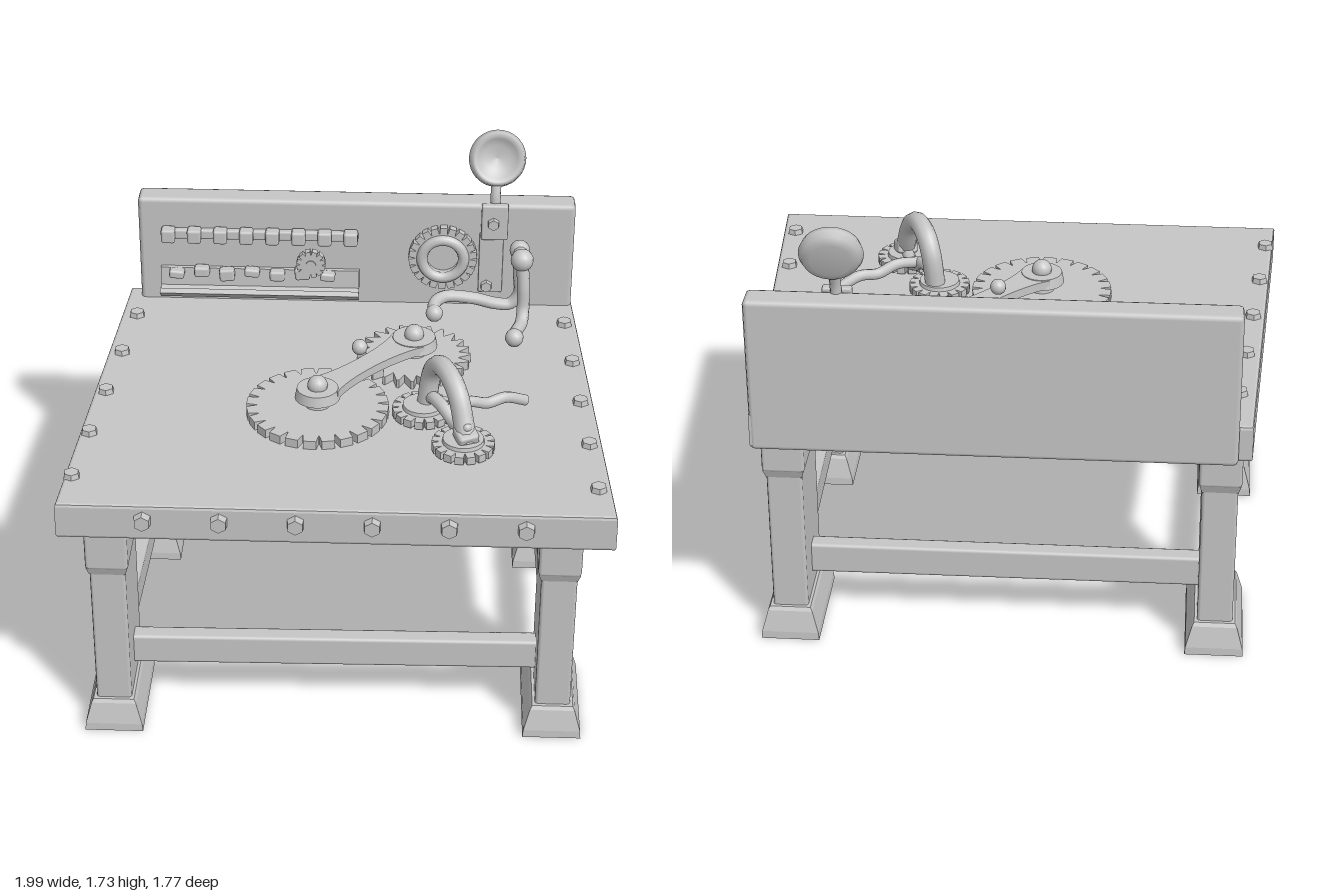
import * as THREE from 'three';
import { RoundedBoxGeometry } from 'three/addons/geometries/RoundedBoxGeometry.js';

const TURN = -0.076; // the bench stands slightly turned
const V = (p) => new THREE.Vector3(...p);

export function createModel() {
  const root = new THREE.Group();
  root.name = 'workbench';
  const clay = new THREE.MeshStandardMaterial({ color: 0xc6c6c6, side: THREE.DoubleSide });
  clay.name = 'plain grey';

  const add = (name, geo, pos = [0, 0, 0], rot = [0, 0, 0], parent = root) => {
    const m = new THREE.Mesh(geo, clay);
    m.name = name;
    m.position.set(...pos);
    m.rotation.set(...rot);
    parent.add(m);
    return m;
  };
  const block = (w, h, d, r = 0.012) => new RoundedBoxGeometry(w, h, d, 1, r);
  const tube = (pts, r, n = 40) =>
    new THREE.TubeGeometry(new THREE.CatmullRomCurve3(pts.map(V)), n, r, 10);
  const ball = (r, sy = 1) => new THREE.SphereGeometry(r, 14, 10).scale(1, sy, 1);
  const flat = (geo) => geo.rotateX(-Math.PI / 2);

  // One tooth is a list of [fraction of pitch, radius]; repeated around the wheel
  const gear = (tooth, count, depth, hole = 0) => {
    const pts = [];
    for (let i = 0; i < count; i++) {
      for (const [f, r] of tooth) {
        const a = ((i + f) / count) * Math.PI * 2;
        pts.push(new THREE.Vector2(Math.cos(a) * r, Math.sin(a) * r));
      }
    }
    const s = new THREE.Shape(pts);
    if (hole) s.holes.push(new THREE.Path().absarc(0, 0, hole, 0, Math.PI * 2, true));
    return new THREE.ExtrudeGeometry(s, { depth, bevelEnabled: false, curveSegments: 20 });
  };
  const blunt = (r, cut) => [[0, r - cut], [0.12, r], [0.82, r], [0.96, r - cut]];
  const spiky = (r, cut) => [[0, r - cut], [0.6, r], [0.78, r]];

  // Tapered table top
  const topShape = new THREE.Shape(
    [[-0.985, -0.71], [0.96, -0.858], [0.973, 0.75], [-0.77, 0.86]].map((p) => new THREE.Vector2(...p)));
  add('tableTop', flat(new THREE.ExtrudeGeometry(topShape, {
    depth: 0.117, bevelThickness: 0.012, bevelSize: 0.012, bevelSegments: 2,
  })), [0, 0.88, 0]);

  // Back panel, with its fittings placed relative to its front face
  const back = new THREE.Group();
  back.name = 'backPanel';
  back.position.set(0.12, 0, -0.722);
  back.rotation.y = TURN;
  root.add(back);
  add('backBoard', block(1.72, 0.59, 0.108, 0.018), [0, 1.155, -0.054], [0, 0, 0], back);

  // Legs with a collar and a flared foot
  const frustum = (wb, db, wt, dt, h) => {
    const g = new THREE.BoxGeometry(1, h, 1);
    const p = g.attributes.position;
    for (let i = 0; i < p.count; i++) {
      const up = p.getY(i) > 0;
      p.setX(i, p.getX(i) * (up ? wt : wb));
      p.setZ(i, p.getZ(i) * (up ? dt : db));
    }
    g.computeVertexNormals();
    return g;
  };
  const legs = {
    frontRight: [-0.815, 0.515], frontLeft: [0.805, 0.61],
    backLeft: [0.87, -0.485], backRight: [-0.695, -0.6],
  };
  for (const [name, [x, z]] of Object.entries(legs)) {
    const leg = new THREE.Group();
    leg.name = name + 'Leg';
    leg.position.set(x, 0, z);
    leg.rotation.y = TURN;
    add('post', block(0.13, 0.62, 0.33), [0, 0.41, 0], [0, 0, 0], leg);
    add('collar', block(0.155, 0.18, 0.362), [0, 0.795, 0], [0, 0, 0], leg);
    add('collarTaper', frustum(0.13, 0.33, 0.15, 0.357, 0.035), [0, 0.694, 0], [0, 0, 0], leg);
    add('footBase', frustum(0.215, 0.415, 0.21, 0.412, 0.03), [0, 0.015, 0], [0, 0, 0], leg);
    add('footFlare', frustum(0.21, 0.412, 0.165, 0.372, 0.08), [0, 0.07, 0], [0, 0, 0], leg);
    add('footCap', frustum(0.165, 0.372, 0.15, 0.355, 0.014), [0, 0.117, 0], [0, 0, 0], leg);
    root.add(leg);
  }

  // Stretchers joining neighbouring legs
  const corners = Object.values(legs);
  corners.forEach(([x, z], i) => {
    const [x2, z2] = corners[(i + 1) % 4];
    add('stretcher', block(Math.hypot(x2 - x, z2 - z), 0.12, 0.07),
      [(x + x2) / 2, 0.247, (z + z2) / 2], [0, -Math.atan2(z2 - z, x2 - x), 0]);
  });

  // Hexagonal bolts along the sides and the front
  const bolt = (r, h) => new THREE.CylinderGeometry(r * 0.85, r, h, 6).toNonIndexed();
  const hex = (r, h) => { const g = bolt(r, h); g.computeVertexNormals(); return g; };
  for (let i = 0; i < 5; i++) {
    const t = i / 4;
    add('topBolt', hex(0.033, 0.024), [-0.75 - 0.195 * t, 1.017, -0.635 + 1.175 * t]);
    add('topBolt', hex(0.033, 0.024), [0.935 - 0.01 * t, 1.017, -0.505 + 1.195 * t]);
  }
  for (let i = 0; i < 6; i++) {
    const x = -0.69 + i * 0.269;
    add('frontBolt', hex(0.035, 0.04), [x, 0.953, 0.754 + (x + 0.69) * 0.076], [Math.PI / 2, 0, -TURN]);
  }

  // Two large wheels joined by a link arm
  const A = [-0.055, 0.125], B = [0.325, -0.245];
  add('largeGear', flat(gear(blunt(0.265, 0.04), 24, 0.035)), [A[0], 1.008, A[1]]);
  add('sawGear', flat(gear(spiky(0.218, 0.045), 24, 0.035)), [B[0], 1.008, B[1]]);
  for (const [[x, z], r] of [[A, 0.085], [B, 0.09]]) {
    add('axle', new THREE.CylinderGeometry(0.042, 0.05, 0.07, 20), [x, 1.06, z]);
    add('armEye', new THREE.CylinderGeometry(r - 0.008, r, 0.04, 24), [x, 1.095, z]);
    add('axleCap', ball(0.038), [x, 1.125, z]);
  }
  const len = Math.hypot(B[0] - A[0], B[1] - A[1]);
  const armShape = new THREE.Shape();
  armShape.moveTo(0.03, -0.075);
  armShape.bezierCurveTo(0.12, -0.03, len - 0.14, -0.03, len - 0.03, -0.08);
  armShape.lineTo(len - 0.03, 0.08);
  armShape.bezierCurveTo(len - 0.14, 0.03, 0.12, 0.03, 0.03, 0.075);
  add('linkArm', flat(new THREE.ExtrudeGeometry(armShape, { depth: 0.034, bevelEnabled: false })),
    [A[0], 1.078, A[1]], [0, Math.atan2(A[1] - B[1], B[0] - A[0]), 0]);
  add('knob', ball(0.03), [0.11, 1.16, -0.09]);

  // Two small wheels carrying an arched handle and a wavy lever
  for (const [x, z] of [[0.335, 0.165], [0.465, 0.41]]) {
    add('smallGear', flat(gear(blunt(0.115, 0.028), 16, 0.03, 0.05)), [x, 1.018, z]);
    add('smallGearHub', new THREE.CylinderGeometry(0.075, 0.085, 0.055, 20), [x, 1.035, z]);
  }
  add('archHandle', tube([[0.475, 1.05, 0.43], [0.465, 1.12, 0.395], [0.445, 1.21, 0.345],
    [0.415, 1.253, 0.27], [0.385, 1.24, 0.19], [0.365, 1.18, 0.148], [0.35, 1.05, 0.14]], 0.038));
  add('handleShoe', block(0.08, 0.05, 0.08), [0.473, 1.08, 0.42], [0.3, 0.3, 0]);
  add('handlePin', ball(0.018), [0.475, 1.115, 0.425]);
  add('wavyLever', tube([[0.42, 1.09, 0.26], [0.5, 1.1, 0.22], [0.57, 1.075, 0.19],
    [0.64, 1.08, 0.16], [0.72, 1.045, 0.125]], 0.021));
  add('lowRod', tube([[0.36, 1.06, 0.13], [0.37, 1.095, 0.18], [0.4, 1.095, 0.24],
    [0.44, 1.06, 0.3], [0.47, 1.06, 0.42]], 0.025));

  // Toothed rack on the panel
  add('rackBar', block(0.78, 0.04, 0.03, 0.008), [-0.38, 1.308, 0.015], [0, 0, 0], back);
  for (let i = 0; i < 8; i++) {
    add('rackTooth', block(0.055, 0.058, 0.055, 0.01), [-0.74 + i * 0.103, 1.308, 0.03], [0, 0, 0], back);
  }

  // Trough on the panel, with small pieces lying in it
  const trough = new THREE.Shape();
  trough.moveTo(0, 1.155);
  trough.lineTo(0, 1.06);
  trough.quadraticCurveTo(0.02, 1.04, 0.055, 1.045);
  trough.lineTo(0.095, 1.08);
  trough.lineTo(0.085, 1.098);
  trough.lineTo(0.05, 1.07);
  trough.lineTo(0.022, 1.08);
  trough.lineTo(0.018, 1.155);
  add('trough', new THREE.ExtrudeGeometry(trough, { depth: 0.79, bevelEnabled: false })
    .rotateY(-Math.PI / 2).scale(1, 1, 1), [0.015, 0, 0], [0, 0, 0], back);
  for (let i = 0; i < 7; i++) {
    add('troughPiece', block(0.06, 0.035 + (i % 3) * 0.008, 0.045, 0.01),
      [-0.71 + i * 0.1, 1.14 + (i % 2) * 0.012, 0.035], [0, 0, (i % 3 - 1) * 0.08], back);
  }

  // Wheels on the panel
  add('tinyGear', gear(blunt(0.058, 0.016), 12, 0.03, 0.014), [-0.175, 1.2, 0.03], [0, 0, 0], back);
  add('tinyGearPin', new THREE.CylinderGeometry(0.02, 0.02, 0.07, 12), [-0.175, 1.2, 0.03], [Math.PI / 2, 0, 0], back);
  add('ringGear', gear(blunt(0.135, 0.025), 22, 0.03, 0.065), [0.345, 1.225, 0.002], [0, 0, 0], back);
  add('ringGearRim', new THREE.TorusGeometry(0.082, 0.022, 8, 32), [0.345, 1.225, 0.032], [0, 0, 0], back);

  // Bracket and round tilted dish
  add('bracketStrap', block(0.095, 0.26, 0.014, 0.005), [0.535, 1.2, 0.005], [0, 0, 0], back);
  add('bracketBlock', block(0.105, 0.15, 0.035, 0.008), [0.545, 1.385, 0.014], [0, 0, 0], back);
  for (const [x, y, z] of [[0.54, 1.385, 0.035], [0.52, 1.1, 0.015]]) {
    add('bracketBolt', hex(0.026, 0.03), [x, y, z], [Math.PI / 2, 0, 0], back);
  }
  add('dishStem', tube([[0.665, 1.42, -0.69], [0.665, 1.48, -0.695], [0.668, 1.54, -0.715]], 0.02, 12));
  const dish = new THREE.LatheGeometry([[0, -0.03], [0.07, -0.03], [0.1, -0.018], [0.112, 0.005],
    [0.104, 0.03], [0.09, 0.034], [0.078, 0.022], [0.05, 0.004], [0, -0.005]]
    .map((p) => new THREE.Vector2(...p)), 36);
  add('dish', dish, [0.672, 1.62, -0.748], [Math.PI / 2 - 0.32, 0, 0]);

  // Bent crank handle beside the panel
  add('crankArm', tube([[0.42, 1.075, -0.49], [0.425, 1.09, -0.55], [0.47, 1.095, -0.595],
    [0.58, 1.08, -0.605], [0.67, 1.05, -0.615], [0.73, 1.045, -0.62], [0.765, 1.09, -0.62],
    [0.762, 1.18, -0.62], [0.76, 1.28, -0.62]], 0.025, 60));
  add('crankBridge', tube([[0.76, 1.283, -0.64], [0.76, 1.285, -0.52]], 0.028, 4));
  add('crankGrip', tube([[0.76, 1.28, -0.52], [0.768, 1.18, -0.505], [0.768, 1.09, -0.495],
    [0.76, 1.048, -0.46], [0.735, 1.042, -0.4], [0.722, 1.042, -0.345]], 0.025, 40));
  add('crankKnob', ball(0.045), [0.76, 1.288, -0.525]);
  add('crankJoint', ball(0.04), [0.76, 1.283, -0.62]);
  add('gripEnd', ball(0.036), [0.722, 1.042, -0.35]);
  add('crankEnd', ball(0.034), [0.42, 1.075, -0.495]);

  return root;
}
